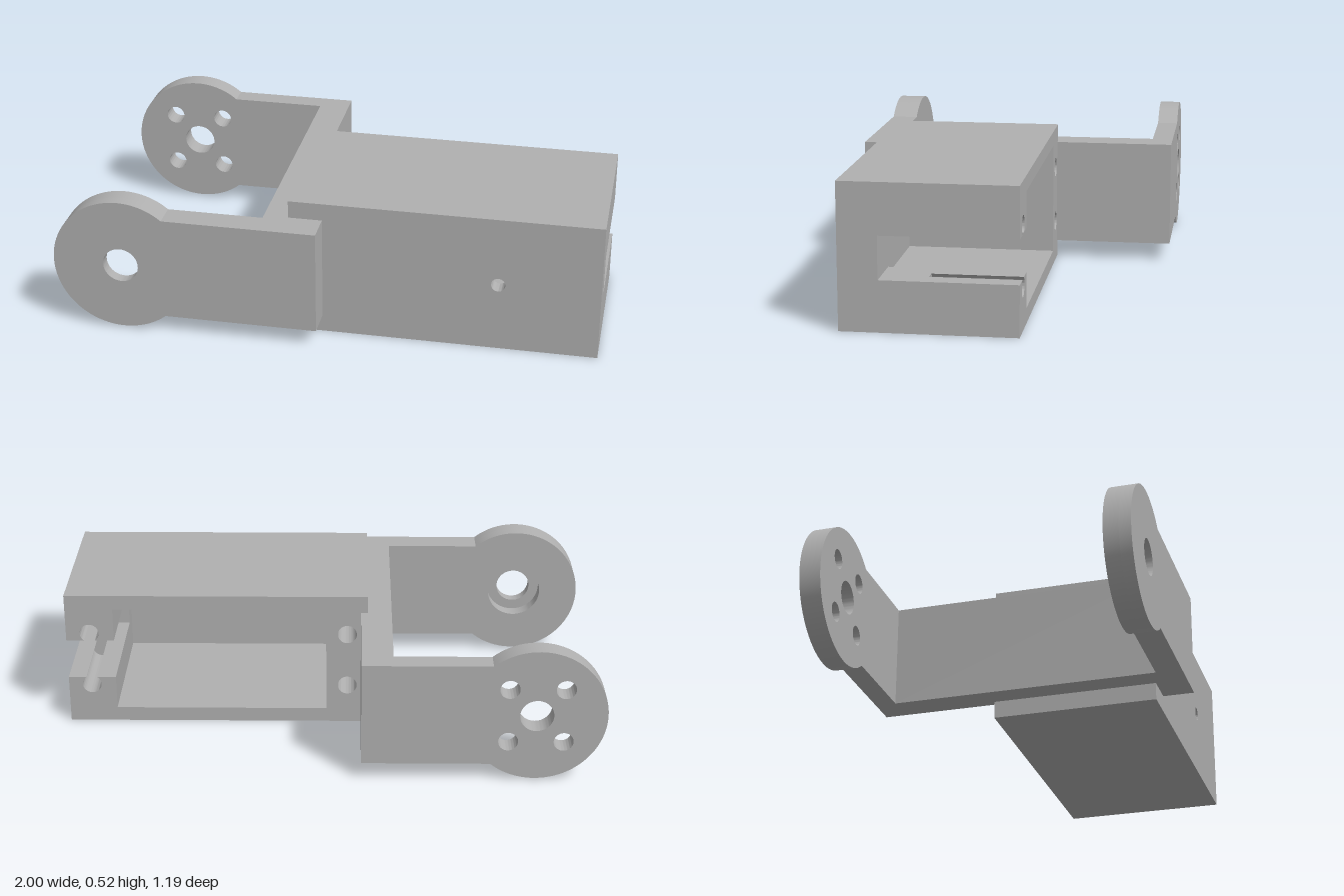
import * as THREE from 'three';
import { toCreasedNormals } from 'three/addons/utils/BufferGeometryUtils.js';

const MID = 0.2625;                        // height of the centre line
const BOX = { x0: -0.14, x1: 1, y0: 0, y1: 0.525 };
const CAVITY = { x0: 0.016, x1: 0.82, y0: 0.055, y1: 0.47 };
const SLOT = { y0: 0.185, y1: 0.34 };
const SCREW = { x: 0.912, x2: -0.064, dy: 0.107, r: 0.036 };
const PIVOT_X = -0.745;

function rect(target, { x0, x1, y0, y1 }) {
  target.moveTo(x0, y0);
  target.lineTo(x1, y0);
  target.lineTo(x1, y1);
  target.lineTo(x0, y1);
  target.closePath();
  return target;
}

function circle(x, y, r) {
  return new THREE.Path().absarc(x, y, r, 0, Math.PI * 2, true);
}

// Box cross-section with the cavity opening through the end slot
function slottedProfile(withScrews) {
  const s = new THREE.Shape();
  const t = Math.asin((SLOT.y0 - MID + SCREW.dy) / SCREW.r);
  s.moveTo(BOX.x0, BOX.y0);
  s.lineTo(BOX.x1, BOX.y0);
  s.lineTo(BOX.x1, SLOT.y0);
  if (withScrews) s.absarc(SCREW.x, MID - SCREW.dy, SCREW.r, t, Math.PI - t, true);
  s.lineTo(CAVITY.x1, SLOT.y0);
  s.lineTo(CAVITY.x1, CAVITY.y0);
  s.lineTo(CAVITY.x0, CAVITY.y0);
  s.lineTo(CAVITY.x0, CAVITY.y1);
  s.lineTo(CAVITY.x1, CAVITY.y1);
  s.lineTo(CAVITY.x1, SLOT.y1);
  if (withScrews) s.absarc(SCREW.x, MID + SCREW.dy, SCREW.r, t - Math.PI, -t, true);
  s.lineTo(BOX.x1, SLOT.y1);
  s.lineTo(BOX.x1, BOX.y1);
  s.lineTo(BOX.x0, BOX.y1);
  s.closePath();
  if (withScrews) {
    for (const d of [-1, 1]) s.holes.push(circle(SCREW.x2, MID + d * SCREW.dy, SCREW.r));
  }
  return s;
}

// Arm outline: a straight neck ending in a round pivot lug
function armProfile(xEnd, holes) {
  const r = 0.255, half = 0.197, a = Math.asin(half / r);
  const s = new THREE.Shape();
  s.moveTo(xEnd, MID - half);
  s.lineTo(xEnd, MID + half);
  s.absarc(PIVOT_X, MID, r, a, Math.PI * 2 - a, false);
  s.closePath();
  s.holes.push(...holes);
  return s;
}

export function createModel() {
  const model = new THREE.Group();
  const grey = new THREE.MeshStandardMaterial({ color: 0xb0b0b0 });
  grey.name = 'plain grey';

  // Extrudes a profile from z0 to z1
  function slab(parent, name, shape, z0, z1) {
    const geo = new THREE.ExtrudeGeometry(shape, { depth: z1 - z0, bevelEnabled: false, curveSegments: 32 });
    geo.translate(0, 0, z0);
    const mesh = new THREE.Mesh(toCreasedNormals(geo, 0.6), grey);
    mesh.name = name;
    parent.add(mesh);
  }

  // Housing, layered from the open back to the closed front
  const housing = new THREE.Group();
  housing.name = 'housing';
  const ring = rect(new THREE.Shape(), BOX);
  ring.holes.push(rect(new THREE.Path(), CAVITY));
  const wall = rect(new THREE.Shape(), BOX);
  wall.holes.push(circle(0.63, MID, 0.026));
  slab(housing, 'screwRim', slottedProfile(true), -0.15, 0.17);
  slab(housing, 'slottedWalls', slottedProfile(false), 0.17, 0.335);
  slab(housing, 'cavityWalls', ring, 0.335, 0.415);
  slab(housing, 'frontWall', wall, 0.415, 0.475);

  // Forked bracket
  const bracket = new THREE.Group();
  bracket.name = 'bracket';
  const bar = { x0: -0.23, x1: -0.115, y0: MID - 0.197, y1: MID + 0.197 };
  slab(bracket, 'crossPlate', rect(new THREE.Shape(), bar), -0.515, 0.495);
  slab(bracket, 'frontArmFoot', rect(new THREE.Shape(), { ...bar, x0: -0.115, x1: -0.015 }), 0.475, 0.495);

  // Back arm with a centre hole and four screw holes
  const backHoles = [circle(PIVOT_X, MID, 0.061)];
  for (const dx of [-0.1, 0.1]) {
    for (const dy of [-0.105, 0.105]) backHoles.push(circle(PIVOT_X + dx, MID + dy, 0.036));
  }
  slab(bracket, 'backArm', armProfile(-0.115, backHoles), -0.593, -0.515);

  // Front arm with a counterbore on its inner side
  slab(bracket, 'frontArmInner', armProfile(-0.015, [circle(PIVOT_X, MID, 0.105)]), 0.495, 0.55);
  slab(bracket, 'frontArmOuter', armProfile(-0.015, [circle(PIVOT_X, MID, 0.066)]), 0.55, 0.593);

  model.add(housing, bracket);
  return model;
}
